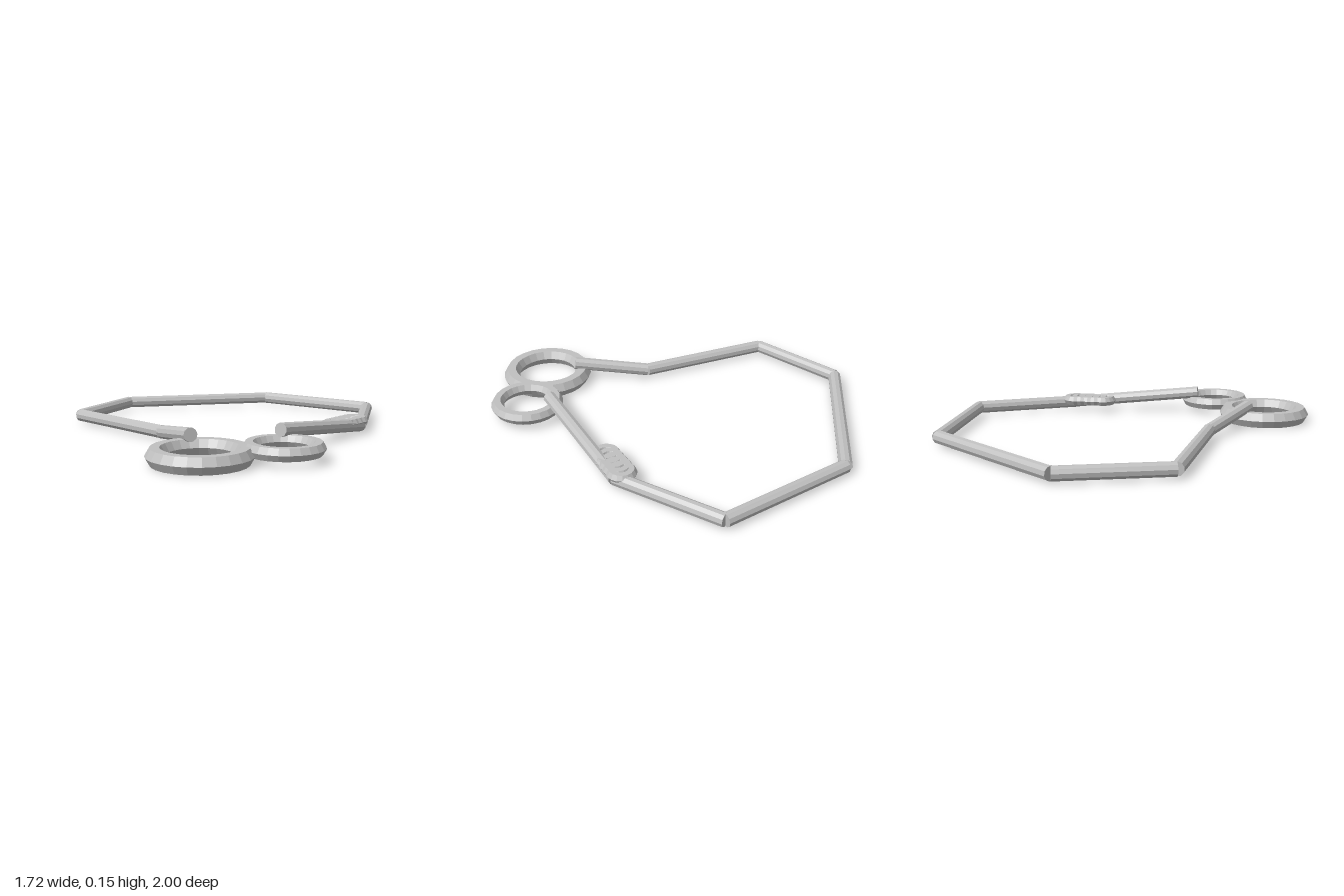
import * as THREE from 'three';

export function createModel() {
  const group = new THREE.Group();
  const metal = new THREE.MeshStandardMaterial({ color: 0xc0c0c0, flatShading: true });
  metal.name = 'grey metal';

  // Straight capped rod between two points
  function rod(name, a, b) {
    const start = new THREE.Vector3(...a), end = new THREE.Vector3(...b);
    const dir = end.clone().sub(start);
    const mesh = new THREE.Mesh(new THREE.CylinderGeometry(0.034, 0.034, dir.length(), 10), metal);
    mesh.position.copy(start).add(end).multiplyScalar(0.5);
    mesh.quaternion.setFromUnitVectors(new THREE.Vector3(0, 1, 0), dir.normalize());
    mesh.name = name;
    group.add(mesh);
  }

  // Flat-lying ring with a hexagonal section
  function ring(name, radius, tube, x, y, z, segments) {
    const mesh = new THREE.Mesh(new THREE.TorusGeometry(radius, tube, 6, segments), metal);
    mesh.rotation.x = -Math.PI / 2;
    mesh.position.set(x, y, z);
    mesh.name = name;
    group.add(mesh);
  }

  // Chain of rods, ends raised to rest on the rings
  const joints = [
    [-0.235, 0.1, 0.595], [-0.37, 0.044, 0.21], [-0.83, 0.042, -0.35], [-0.585, 0.042, -0.825],
    [0.283, 0.042, -0.966], [0.83, 0.042, -0.5], [0.668, 0.04, 0.06], [0.178, 0.115, 0.582],
  ];
  for (let i = 0; i < joints.length - 1; i++) rod('rod' + (i + 1), joints[i], joints[i + 1]);

  // End rings
  ring('largeRing', 0.2, 0.0445, -0.197, 0.0386, 0.752, 24);
  ring('smallRing', 0.156, 0.034, 0.178, 0.06, 0.712, 24);

  // Clasp: a row of overlapping small rings
  for (let i = 0; i < 5; i++) {
    const t = i / 4;
    ring('claspRing' + (i + 1), 0.048, 0.027, 0.525 + 0.115 * t, 0.06, 0.15 - 0.115 * t, 16);
  }

  return group;
}
